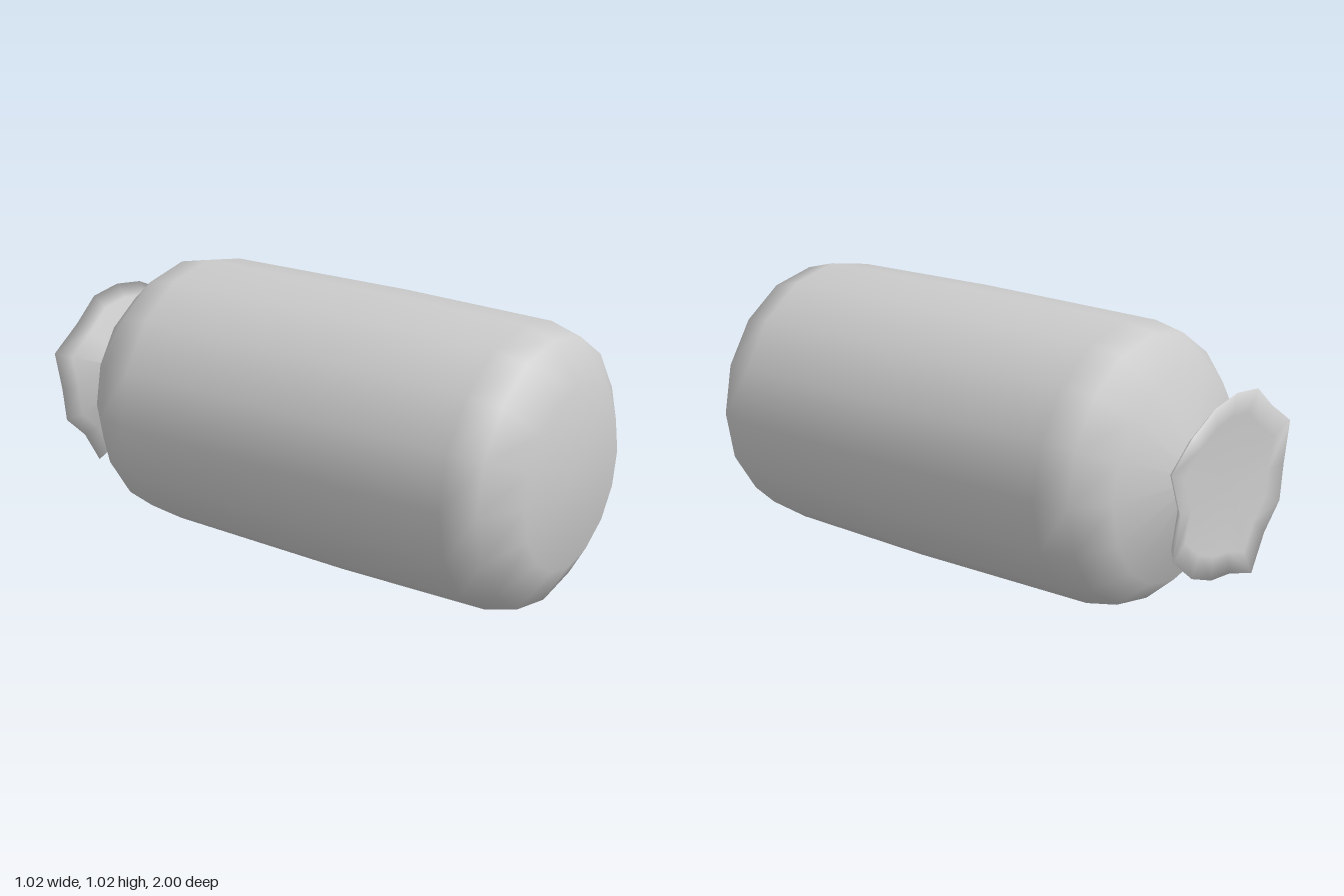
import * as THREE from 'three';
import { mergeVertices } from 'three/addons/utils/BufferGeometryUtils.js';

const SIDES = 16;
const CENTRE_Y = 0.51;

// Revolve [radius, z] pairs (back to front) around the z axis
function revolve(profile) {
  const geo = new THREE.LatheGeometry(profile.map(([r, z]) => new THREE.Vector2(r, z)), SIDES);
  return geo.rotateX(Math.PI / 2);
}

// Weld the seam and poles, then smooth the normals
function smooth(geo) {
  geo.deleteAttribute('uv');
  geo.deleteAttribute('normal');
  const welded = mergeVertices(geo, 1e-4);
  welded.computeVertexNormals();
  return welded;
}

export function createModel() {
  const group = new THREE.Group();
  const material = new THREE.MeshStandardMaterial({ color: 0xcccccc, roughness: 0.8 });

  const add = (name, geo) => {
    const mesh = new THREE.Mesh(smooth(geo), material);
    mesh.name = name;
    mesh.position.y = CENTRE_Y;
    group.add(mesh);
  };

  // Barrel-shaped casing: bevelled flat front, tapering to the pinched neck
  add('casing', revolve([
    [0.025, -0.86], [0.38, -0.78], [0.478, -0.67], [0.503, -0.55],
    [0.511, 0.2], [0.503, 0.79], [0.47, 0.91], [0.32, 1], [0, 1],
  ]));

  // Ruffled gathered end; profile radii are fractions of the rim radius
  const rim = [0.32, 0.41, 0.36, 0.34, 0.335, 0.345, 0.33, 0.39,
    0.33, 0.34, 0.31, 0.375, 0.30, 0.31, 0.34, 0.385];
  const flare = revolve([[0, -0.985], [0.75, -0.988], [1, -1], [0.86, -0.96], [0.07, -0.86]]);
  const pos = flare.attributes.position;
  for (let i = 0; i < pos.count; i++) {
    const x = pos.getX(i), y = pos.getY(i);
    const step = Math.round(Math.atan2(y, x) / (2 * Math.PI) * SIDES);
    const r = rim[(step + SIDES) % SIDES];
    pos.setXY(i, x * r, y * r);
  }
  add('gatheredEnd', flare);

  return group;
}
